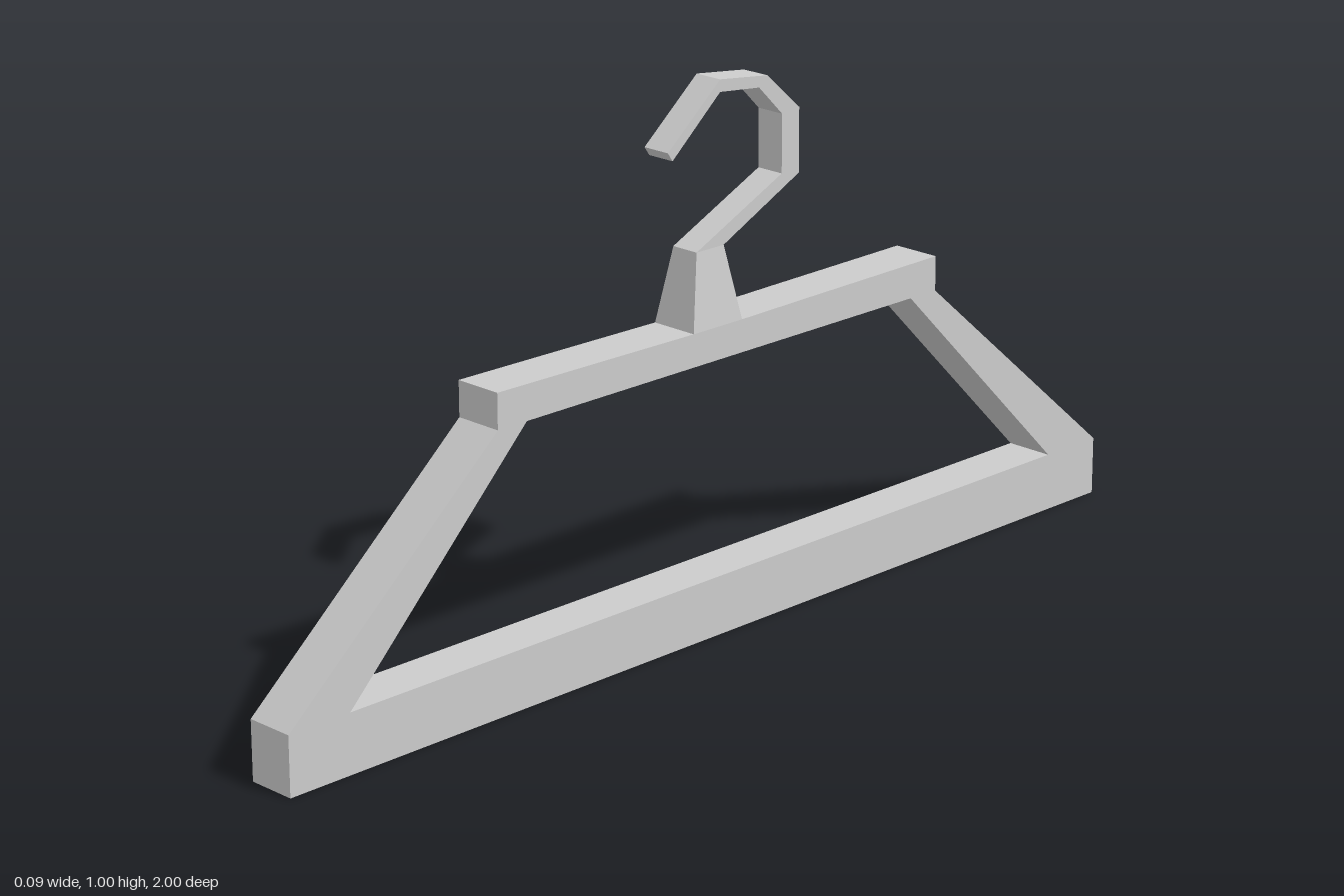
import * as THREE from 'three';

const material = new THREE.MeshStandardMaterial({ color: 0xcccccc, flatShading: true });
const toPoints = (list) => list.map(([z, y]) => new THREE.Vector2(z, y));

// Side profile in (z, y), extruded along x and centred
function slab(name, profile, width, hole) {
  const shape = new THREE.Shape(toPoints(profile));
  if (hole) shape.holes.push(new THREE.Path(toPoints(hole)));
  const geometry = new THREE.ExtrudeGeometry(shape, { depth: width, bevelEnabled: false });
  geometry.translate(0, 0, -width / 2).rotateY(-Math.PI / 2);
  const mesh = new THREE.Mesh(geometry, material);
  mesh.name = name;
  return mesh;
}

export function createModel() {
  const group = new THREE.Group();
  group.name = 'coatHanger';
  const frameWidth = 0.094, hookWidth = 0.056;
  const neckBase = 0.57, neckTop = 0.706;

  // Trapezoid frame with stepped shoulders and an open middle
  group.add(slab('frame', [
    [-1, 0], [1, 0], [1, 0.11], [0.538, 0.51], [0.538, 0.575], [0.25, 0.572], [0.08, 0.57],
    [-0.035, 0.57], [-0.21, 0.572], [-0.536, 0.575], [-0.536, 0.51], [-1, 0.11],
  ], frameWidth, [[0.87, 0.11], [0.473, 0.51], [-0.47, 0.51], [-0.867, 0.11]]));

  // Neck, as wide as the frame at its base and narrowing to the hook
  const neck = slab('neck', [[0.083, neckBase], [-0.035, neckBase], [-0.009, neckTop], [0.057, neckTop]], hookWidth);
  const position = neck.geometry.attributes.position;
  for (let i = 0; i < position.count; i++) {
    if (position.getY(i) < neckBase + 0.01) position.setX(i, Math.sign(position.getX(i)) * frameWidth / 2);
  }
  neck.geometry.computeVertexNormals();
  group.add(neck);

  // Faceted hook: outer edge up and over to the tip, then back along the inner edge
  const outer = [[-0.009, neckTop], [-0.195, 0.797], [-0.195, 0.915], [-0.115, 0.986], [0, 1], [0.125, 0.895]];
  const inner = [[0.057, neckTop], [-0.152, 0.804], [-0.152, 0.911], [-0.095, 0.968], [0, 0.978], [0.114, 0.879]];
  group.add(slab('hook', [...outer, ...inner.reverse()], hookWidth));

  return group;
}
